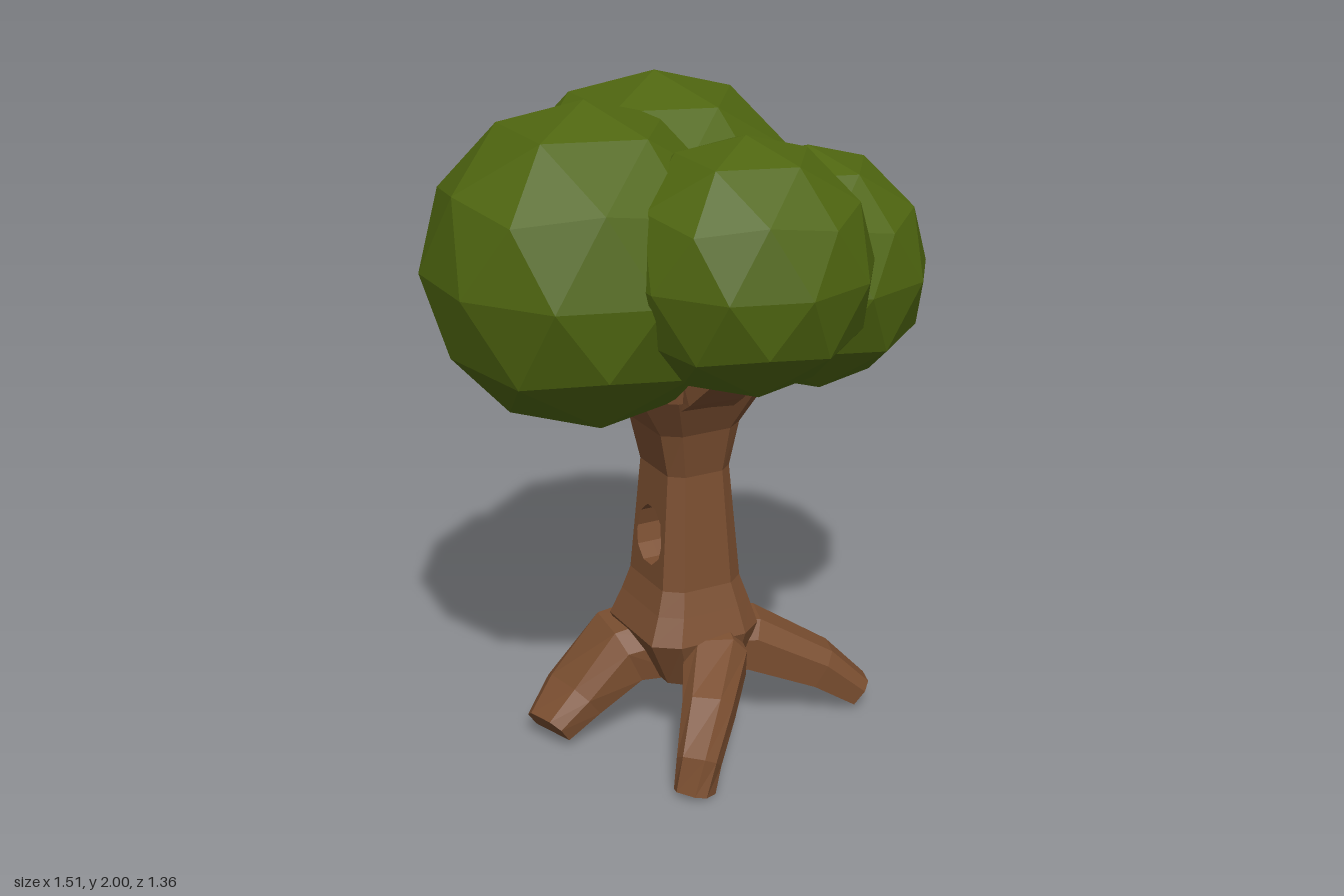
import * as THREE from 'three';

const bark = new THREE.MeshStandardMaterial({ color: 0x7a4e30, flatShading: true, name: 'bark brown' });
const leaf = new THREE.MeshStandardMaterial({ color: 0x4f6610, flatShading: true, name: 'leaf green' });

// Skin a series of equal-sized rings (counter-clockwise about the path) and cap both ends
function loft(rings) {
  const n = rings[0].length, last = (rings.length - 1) * n, index = [];
  for (let i = 0; i < rings.length - 1; i++) {
    for (let j = 0; j < n; j++) {
      const k = (j + 1) % n, a = i * n + j, b = i * n + k;
      index.push(a, b, b + n, a, b + n, a + n);
    }
  }
  for (let j = 1; j < n - 1; j++) {
    index.push(0, j + 1, j, last, last + j, last + j + 1);
  }
  const g = new THREE.BufferGeometry().setFromPoints(rings.flat());
  g.setIndex(index);
  const flat = g.toNonIndexed();
  flat.computeVertexNormals();
  return flat;
}

const CX = 0.6, CZ = 0.72; // chamfer fractions of the trunk section

// Chamfered box section: y, x range, z range
function trunkRing([y, x0, x1, z0, z1]) {
  const xc = (x0 + x1) / 2, zc = (z0 + z1) / 2, hx = (x1 - x0) / 2, hz = (z1 - z0) / 2;
  return [[-CX, 1], [CX, 1], [1, CZ], [1, -CZ], [CX, -1], [-CX, -1], [-1, -CZ], [-1, CZ]]
    .map(([u, v]) => new THREE.Vector3(xc + u * hx, y, zc + v * hz));
}

// Trunk piece with a hollow running through it from side to side
function hollowTrunk(low, high) {
  const shape = new THREE.Shape([[-1, low[0]], [1, low[0]], [1, high[0]], [-1, high[0]]]
    .map(([u, y]) => new THREE.Vector2(u, y)));
  const ring = [];
  for (let i = 0; i < 10; i++) {
    const a = (i / 10) * Math.PI * 2;
    ring.push(new THREE.Vector2(0.59 * Math.cos(a), 0.64 + 0.092 * Math.sin(a)));
  }
  shape.holes.push(new THREE.Path(ring));
  const g = new THREE.ExtrudeGeometry(shape, { depth: 3, steps: 3, bevelEnabled: false });
  const p = g.attributes.position;
  for (let i = 0; i < p.count; i++) {
    const u = p.getX(i), y = p.getY(i), layer = Math.round(p.getZ(i));
    const [, x0, x1, z0, z1] = low.map((v, k) => THREE.MathUtils.mapLinear(y, low[0], high[0], v, high[k]));
    const outer = Math.abs(u) > 0.9 && (layer === 0 || layer === 3);
    p.setXYZ(i, (x0 + x1) / 2 + [-1, -CX, CX, 1][layer] * (x1 - x0) / 2, y,
      (z0 + z1) / 2 - u * (outer ? CZ : 1) * (z1 - z0) / 2);
  }
  g.computeVertexNormals();
  return g;
}

// Faceted limb along a path of [x, y, z, width, height]
function limb(path) {
  const pts = path.map(([x, y, z]) => new THREE.Vector3(x, y, z));
  const section = [[-0.5, -0.4], [0.5, -0.4], [0.5, 0.2], [0.28, 0.5], [-0.28, 0.5], [-0.5, 0.2]];
  return loft(path.map(([, , , w, h], i) => {
    const t = pts[Math.min(i + 1, pts.length - 1)].clone().sub(pts[Math.max(i - 1, 0)]).normalize();
    const side = new THREE.Vector3(0, 1, 0).cross(t).normalize();
    const up = t.clone().cross(side);
    return section.map(([u, v]) => {
      const q = pts[i].clone().addScaledVector(side, u * w).addScaledVector(up, v * h);
      q.y = Math.max(q.y, 0.005);
      return q;
    });
  }));
}

export function createModel() {
  const tree = new THREE.Group();
  tree.name = 'tree';
  const add = (name, geometry, material) => {
    const mesh = new THREE.Mesh(geometry, material);
    mesh.name = name;
    tree.add(mesh);
    return mesh;
  };

  // Trunk: flared base, hollow middle, flared crown
  const low = [0.5, -0.12, 0.14, -0.215, 0.075];
  const high = [0.85, -0.087, 0.118, -0.2, 0.04];
  add('trunkBase', loft([
    [0.2, -0.11, 0.14, -0.23, 0.09],
    [0.35, -0.18, 0.18, -0.25, 0.13],
    [0.43, -0.145, 0.16, -0.23, 0.1],
    low].map(trunkRing)), bark);
  add('hollowTrunk', hollowTrunk(low, high), bark);
  add('trunkCrown', loft([
    high,
    [0.99, -0.12, 0.14, -0.21, 0.065],
    [1.12, -0.2, 0.22, -0.33, 0.13],
    [1.2, -0.21, 0.23, -0.36, 0.14]].map(trunkRing)), bark);
  add('frontBranch', limb([
    [0, 1.08, 0, 0.18, 0.14], [-0.02, 1.17, 0.15, 0.17, 0.13], [-0.02, 1.3, 0.32, 0.14, 0.1]]), bark);

  // Roots
  const roots = {
    frontRoot: [[0.03, 0.29, -0.02, 0.22, 0.2], [0.01, 0.28, 0.12, 0.19, 0.16],
      [-0.09, 0.21, 0.26, 0.15, 0.12], [-0.17, 0.1, 0.345, 0.12, 0.1], [-0.195, 0.01, 0.36, 0.11, 0.09]],
    leftRoot: [[0.05, 0.27, -0.06, 0.24, 0.2], [0.2, 0.26, -0.01, 0.2, 0.17],
      [0.41, 0.15, 0.06, 0.16, 0.13], [0.53, 0.05, 0.1, 0.12, 0.09]],
    rightRoot: [[0, 0.28, -0.12, 0.3, 0.2], [-0.17, 0.25, -0.17, 0.28, 0.17],
      [-0.33, 0.13, -0.16, 0.22, 0.11], [-0.43, 0.055, -0.13, 0.15, 0.09]],
    backRoot: [[0.03, 0.31, -0.12, 0.26, 0.26], [0.08, 0.29, -0.28, 0.24, 0.22],
      [0.15, 0.23, -0.45, 0.2, 0.16], [0.2, 0.13, -0.58, 0.16, 0.11], [0.21, 0.03, -0.605, 0.14, 0.06]],
  };
  for (const [name, path] of Object.entries(roots)) add(name, limb(path), bark);

  // Foliage: faceted balls standing on a corner
  const ball = new THREE.IcosahedronGeometry(1, 1);
  ball.rotateZ(-Math.atan(2 / (1 + Math.sqrt(5))));
  const foliage = [
    ['rightFoliage', -0.313, 1.515, -0.045, 0.465],
    ['backFoliage', -0.01, 1.53, -0.21, 0.47],
    ['leftFoliage', 0.404, 1.405, -0.045, 0.365],
    ['frontFoliage', -0.012, 1.562, 0.315, 0.362],
  ];
  for (const [name, x, y, z, r] of foliage) {
    const mesh = add(name, ball, leaf);
    mesh.position.set(x, y, z);
    mesh.scale.setScalar(r);
  }
  return tree;
}
